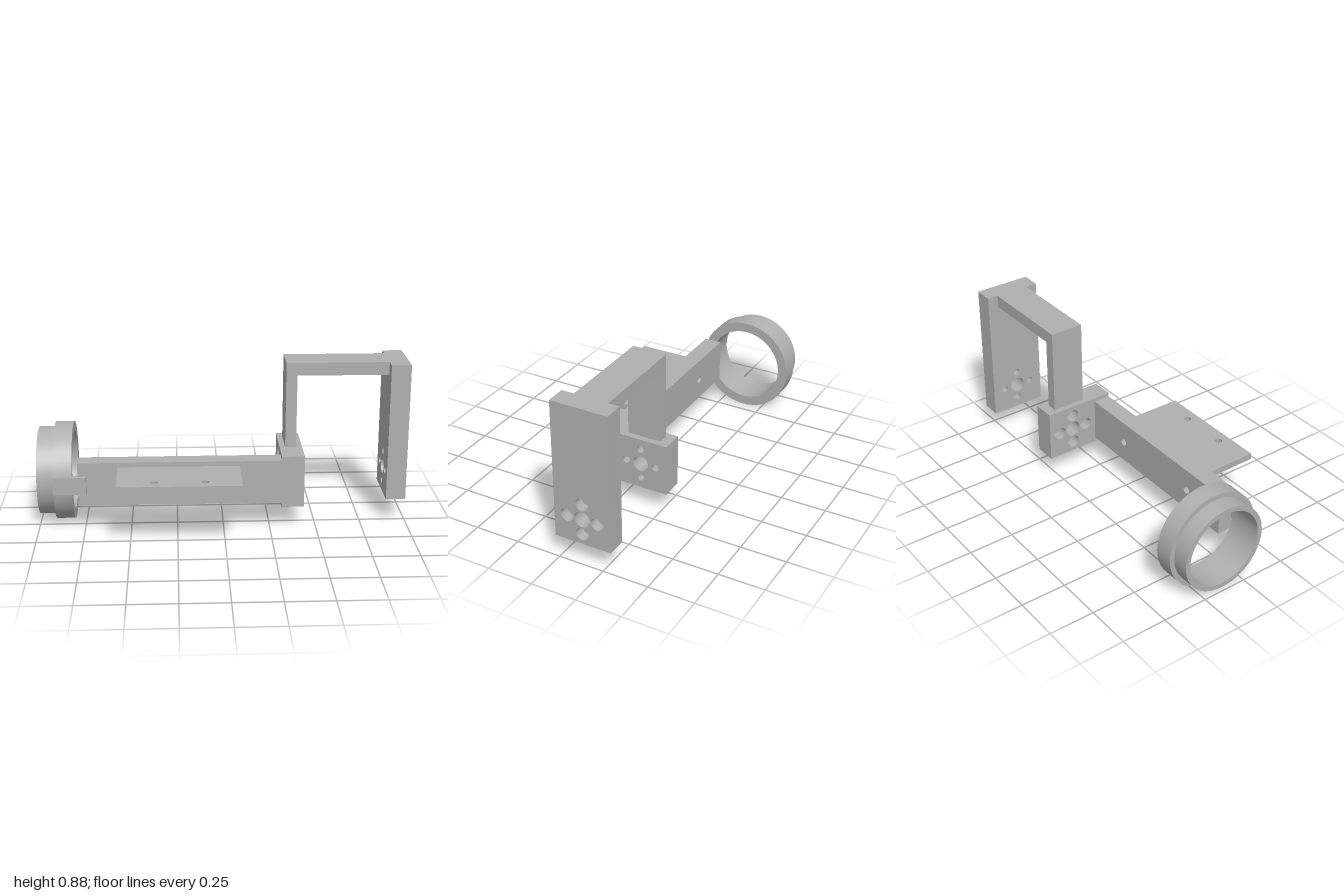
import * as THREE from 'three';
import { toCreasedNormals } from 'three/addons/utils/BufferGeometryUtils.js';

const grey = new THREE.MeshStandardMaterial({ color: 0xb0b0b0 });
grey.name = 'plain grey';

// Hub axis shared by the ring and both drilled end pieces
const HUB_Y = 0.268, HUB_Z = -0.14;

// Rectangle outline with round holes [x, y, radius]
function plateShape(x0, x1, y0, y1, holes = []) {
  const s = new THREE.Shape([[x0, y0], [x1, y0], [x1, y1], [x0, y1]].map(p => new THREE.Vector2(...p)));
  for (const [x, y, r] of holes) s.holes.push(new THREE.Path().absarc(x, y, r, 0, Math.PI * 2, true));
  return s;
}

function extrude(shape, depth) {
  const g = new THREE.ExtrudeGeometry(shape, { depth, bevelEnabled: false, curveSegments: 32 });
  return toCreasedNormals(g, 0.6);
}

function add(parent, name, geometry) {
  const m = new THREE.Mesh(geometry, grey);
  m.name = name;
  parent.add(m);
  return m;
}

// Box from its limits
function box(parent, name, x0, x1, y0, y1, z0, z1) {
  const m = add(parent, name, new THREE.BoxGeometry(x1 - x0, y1 - y0, z1 - z0));
  m.position.set((x0 + x1) / 2, (y0 + y1) / 2, (z0 + z1) / 2);
}

// Slab across x, drilled with the hub hole and four screw holes
function drilledSlab(parent, name, x0, x1, y0, y1, z0, z1, screwRadius) {
  const holes = [[-HUB_Z, HUB_Y, 0.044]];
  for (const [dz, dy] of [[1, 0], [-1, 0], [0, 1], [0, -1]]) {
    holes.push([-HUB_Z + dz * 0.085, HUB_Y + dy * 0.085, screwRadius]);
  }
  const g = extrude(plateShape(-z1, -z0, y0, y1, holes), x1 - x0);
  g.rotateY(Math.PI / 2).translate(x0, 0, 0);
  add(parent, name, g);
}

export function createModel() {
  const model = new THREE.Group();
  model.name = 'bracketArm';

  // Stepped ring, closed profile turned about the x axis
  const profile = [[0.213, -1], [0.24, -1], [0.24, -0.91], [0.267, -0.91], [0.267, -0.81], [0.213, -0.81], [0.213, -1]];
  const ring = new THREE.LatheGeometry(profile.map(p => new THREE.Vector2(...p)), 72);
  ring.rotateZ(-Math.PI / 2).translate(0, HUB_Y, HUB_Z);
  add(model, 'ring', toCreasedNormals(ring, 0.6));

  // Tab joining ring and arm
  box(model, 'ringTab', -0.91, -0.735, 0.22, 0.315, 0.09, 0.128);

  // Long arm with two through holes
  const arm = extrude(plateShape(-0.78, 0.31, 0.15, 0.39, [[-0.515, HUB_Y, 0.022], [0.035, HUB_Y, 0.022]]), 0.097);
  arm.translate(0, 0, 0.01);
  add(model, 'arm', arm);

  // Flat shelf in front of the arm
  const shelf = extrude(plateShape(-0.565, 0.085, 0.107, 0.405, [[-0.37, 0.343, 0.02], [-0.105, 0.343, 0.02]]), 0.035);
  shelf.rotateX(Math.PI / 2).translate(0, 0.365, 0);
  add(model, 'shelf', shelf);

  // Hub block, counterbored from the ring side
  const block = new THREE.Group();
  block.name = 'hubBlock';
  drilledSlab(block, 'blockCounterbore', 0.31, 0.37, 0.125, 0.412, -0.29, 0.107, 0.036);
  drilledSlab(block, 'blockFace', 0.37, 0.433, 0.125, 0.412, -0.29, 0.107, 0.02);
  model.add(block);

  // Upright and crossbar in one angled piece
  const frame = new THREE.Shape([[0.34, 0.412], [0.4, 0.412], [0.4, 0.815], [0.893, 0.815], [0.893, 0.885], [0.34, 0.885]]
    .map(p => new THREE.Vector2(...p)));
  const bridge = extrude(frame, 0.187);
  bridge.translate(0, 0, -0.236);
  add(model, 'bridge', bridge);

  // Hanging end plate, counterbored from the outside
  const plate = new THREE.Group();
  plate.name = 'endPlate';
  drilledSlab(plate, 'plateFace', 0.893, 0.945, 0.125, 0.885, -0.297, 0.018, 0.02);
  drilledSlab(plate, 'plateCounterbore', 0.945, 1, 0.125, 0.885, -0.297, 0.018, 0.036);
  model.add(plate);

  return model;
}
